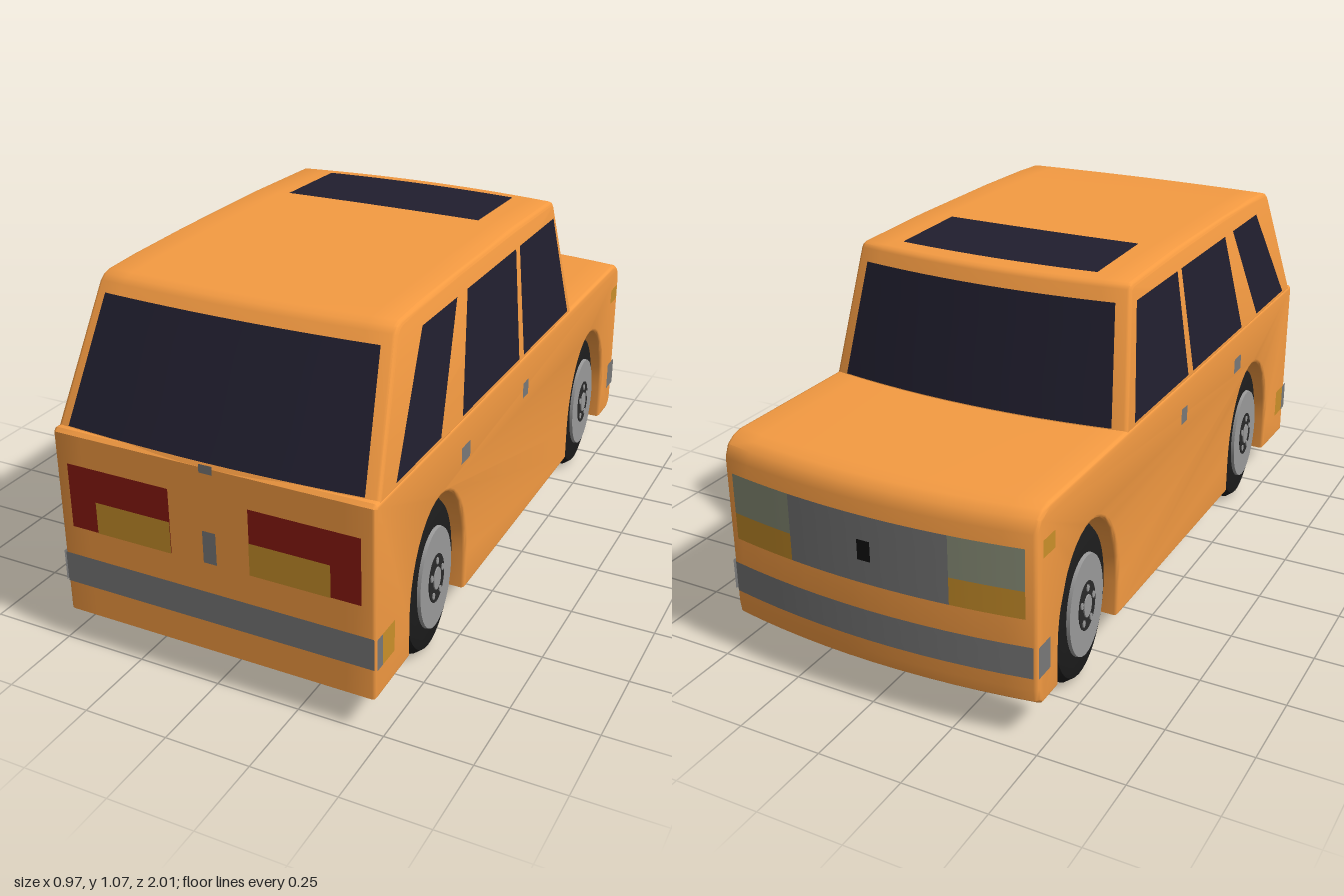
import * as THREE from 'three';
import { toCreasedNormals } from 'three/addons/utils/BufferGeometryUtils.js';

const mat = (color, side = THREE.FrontSide) => new THREE.MeshStandardMaterial({ color, side });
const PAINT = 0xf59b42, GLASS = 0x201e2e, GREY = 0x787878, RED = 0x8a1a10, AMBER = 0xc98f2a, LAMP = 0x8c917a, BLACK = 0x1c1c1c, RIM = 0x999999;
const clamp = (v) => Math.min(1, Math.max(0, v));
const HALF = 0.48;

// The nose and the windscreen bow forward in plan, the tail glass bows back
const bow = (x) => (x / HALF) ** 2;
const bodyBow = (x, z) => z + 0.045 * bow(x) * clamp((-z - 0.84) / 0.1);
const cabinBow = (x, z) => z + 0.045 * bow(x) * clamp((-z - 0.2) / 0.15) - 0.022 * bow(x) * clamp((z - 0.65) / 0.15);
const cabinHalf = (y) => 0.478 - (y - 0.67) * 0.115;

// Side profile (points are [-z, y]) extruded across the width, then moved by a rule
function shell(name, points, deform) {
  const shape = new THREE.Shape(points.map(([a, b]) => new THREE.Vector2(a, b)));
  const bevel = 0.012;
  const geo = new THREE.ExtrudeGeometry(shape, {
    depth: 2 * (HALF - bevel), steps: 12, bevelEnabled: true,
    bevelSize: bevel, bevelThickness: bevel, bevelOffset: -bevel, bevelSegments: 3,
  });
  geo.translate(0, 0, bevel - HALF).rotateY(Math.PI / 2);
  const p = geo.attributes.position;
  for (let i = 0; i < p.count; i++) p.setXYZ(i, ...deform(p.getX(i), p.getY(i), p.getZ(i)));
  const mesh = new THREE.Mesh(toCreasedNormals(geo, 0.6), mat(PAINT));
  mesh.name = name;
  return mesh;
}

// Thin panel: four [u, v] corners (bottom pair, then top pair) laid on a surface function
function panel(name, color, [a, b, c, d], surface, flip = false) {
  const geo = new THREE.PlaneGeometry(1, 1, 12, 4);
  const p = geo.attributes.position;
  const mix = THREE.MathUtils.lerp;
  for (let i = 0; i < p.count; i++) {
    const s = p.getX(i) + 0.5, t = p.getY(i) + 0.5;
    const u = mix(mix(a[0], b[0], s), mix(d[0], c[0], s), t);
    const v = mix(mix(a[1], b[1], s), mix(d[1], c[1], s), t);
    p.setXYZ(i, ...surface(u, v));
  }
  if (flip) geo.index.array.reverse();
  geo.computeVertexNormals();
  const mesh = new THREE.Mesh(geo, mat(color, THREE.DoubleSide));
  mesh.name = name;
  return mesh;
}
const rect = (u0, u1, v0, v1) => [[u0, v0], [u1, v0], [u1, v1], [u0, v1]];

// Half-oval wheel opening in the lower edge of the body profile
function arch(cx) {
  const pts = [[cx - 0.185, 0.11]];
  for (let i = 0; i <= 20; i++) {
    const t = Math.PI * (1 - i / 20);
    pts.push([cx + 0.185 * Math.cos(t), 0.22 + 0.28 * Math.sin(t)]);
  }
  pts.push([cx + 0.185, 0.105]);
  return pts;
}

// Upright oval wheel, outer face towards +x
function wheel(name) {
  const g = new THREE.Group();
  g.name = name;
  const add = (part, geo, color, x) => {
    const m = new THREE.Mesh(geo.rotateZ(-Math.PI / 2), mat(color));
    m.position.x = x;
    m.name = part;
    g.add(m);
    return m;
  };
  const profile = [[0, -0.078], [0.19, -0.078], [0.225, -0.068], [0.243, -0.045], [0.243, 0.045], [0.225, 0.068], [0.19, 0.078], [0, 0.078]];
  const tyre = new THREE.LatheGeometry(profile.map(([r, y]) => new THREE.Vector2(r, y)), 40);
  add('tyre', toCreasedNormals(tyre, 0.6), BLACK, 0);
  add('rim', new THREE.CylinderGeometry(0.154, 0.158, 0.02, 40), RIM, 0.078);
  add('hubRecess', new THREE.CylinderGeometry(0.075, 0.075, 0.004, 28), 0x2a2a2a, 0.088);
  add('hubCap', new THREE.CylinderGeometry(0.034, 0.036, 0.006, 20), RIM, 0.09);
  for (let i = 0; i < 5; i++) {
    const a = (i / 5) * Math.PI * 2;
    const bolt = add('wheelBolt', new THREE.CylinderGeometry(0.011, 0.011, 0.006, 8), RIM, 0.09);
    bolt.position.y = 0.056 * Math.cos(a);
    bolt.position.z = 0.056 * Math.sin(a);
  }
  g.scale.z = 0.67;
  return g;
}

export function createModel() {
  const car = new THREE.Group();
  car.name = 'car';

  // Lower body with wheel openings, and the tapered cabin
  car.add(shell('body', [
    [-1, 0.105], ...arch(-0.61), ...arch(0.65), [0.97, 0.105], [0.995, 0.125], [1, 0.16],
    [1, 0.61], [0.985, 0.645], [0.96, 0.662], [0.92, 0.67], [-0.99, 0.67], [-1, 0.66],
  ], (x, y, z) => [x, y, bodyBow(x, z)]));
  car.add(shell('cabin', [
    [-1, 0.66], [0.47, 0.66], [0.365, 1.04], [0.358, 1.05], [0.345, 1.055], [0, 1.063],
    [-0.4, 1.063], [-0.65, 1.058], [-0.78, 1.052], [-0.805, 1.045], [-0.82, 1.03],
  ], (x, y, z) => {
    const wx = (x / HALF) * cabinHalf(y);
    return [wx, y, cabinBow(wx, z)];
  }));

  // Windscreen, tail glass and sunroof
  car.add(panel('windscreen', GLASS, [[-0.435, 0.675], [0.435, 0.675], [0.4, 1.005], [-0.4, 1.005]],
    (x, y) => [x, y, -0.476 + (y - 0.66) * 0.276 + 0.045 * bow(x)], true));
  car.add(panel('tailGlass', GLASS, [[-0.44, 0.675], [0.44, 0.675], [0.405, 1.005], [-0.405, 1.005]],
    (x, y) => [x, y, 1.006 - (y - 0.66) * 0.486 - 0.022 * bow(x)]));
  car.add(panel('sunroof', GLASS, rect(-0.315, 0.315, 0, -0.29),
    (x, z) => [x, 1.067 - 0.0232 * Math.abs(z), cabinBow(x, z) - 0.01 * (1 - bow(x))]));

  // Fittings on both flanks
  const windows = {
    frontDoorWindow: [[0.012, 0.68], [-0.38, 0.68], [-0.305, 1.005], [-0.015, 1.005]],
    rearDoorWindow: [[0.475, 0.68], [0.05, 0.68], [0.015, 1.005], [0.375, 1.005]],
    quarterWindow: [[0.89, 0.68], [0.62, 0.68], [0.445, 1.005], [0.665, 1.005]],
  };
  const flankTrim = [
    ['frontDoorHandle', GREY, 0.01, -0.035, 0.535, 0.585],
    ['rearDoorHandle', GREY, 0.48, 0.42, 0.535, 0.585],
    ['sideIndicator', AMBER, -0.865, -0.93, 0.535, 0.585],
    ['frontBumperEnd', GREY, -0.89, -0.955, 0.197, 0.29],
    ['rearBumperEnd', GREY, 1, 0.97, 0.197, 0.29],
    ['rearSideMarker', AMBER, 0.97, 0.9, 0.197, 0.29],
  ];
  for (const s of [1, -1]) {
    const side = s > 0 ? 'left ' : 'right ';
    for (const [name, quad] of Object.entries(windows))
      car.add(panel(side + name, GLASS, quad, (z, y) => [s * (cabinHalf(y) + 0.004), y, z], s < 0));
    for (const [name, color, ...r] of flankTrim)
      car.add(panel(side + name, color, rect(...r), (z, y) => [s * (HALF + 0.003), y, z], s < 0));
  }

  // Nose and tail trim, in raised layers
  const nose = (layer) => (x, y) => [x, y, -1 - 0.003 * layer + 0.045 * bow(x)];
  const tail = (layer) => (x, y) => [x, y, 1 + 0.002 * layer];
  const onNose = (name, color, r, layer = 1) => car.add(panel(name, color, rect(...r), nose(layer), true));
  const onTail = (name, color, r, layer = 1) => car.add(panel(name, color, rect(...r), tail(layer)));
  onNose('grille', GREY, [-0.245, 0.245, 0.37, 0.57]);
  onNose('grilleBadge', 0x111111, [-0.02, 0.02, 0.44, 0.5], 2);
  onNose('frontBumper', GREY, [-0.47, 0.47, 0.197, 0.29]);
  onTail('rearBumper', GREY, [-0.475, 0.475, 0.197, 0.29]);
  onTail('tailgateLatch', GREY, [-0.02, 0.02, 0.645, 0.67]);
  onTail('tailgateHandle', GREY, [-0.02, 0.02, 0.38, 0.475]);
  for (const s of [1, -1]) {
    const span = (a, b) => (s > 0 ? [a, b] : [-b, -a]);
    onNose('headlight', LAMP, [...span(0.245, 0.45), 0.45, 0.57]);
    onNose('frontIndicator', AMBER, [...span(0.245, 0.45), 0.37, 0.45]);
    onTail('tailLight', RED, [...span(0.12, 0.44), 0.38, 0.573]);
    onTail('rearIndicator', AMBER, [...span(0.12, 0.355), 0.38, 0.475], 2);

    // Wheels
    for (const [name, z] of [['frontWheel', -0.648], ['rearWheel', 0.608]]) {
      const w = wheel(name);
      w.position.set(s * 0.381, 0.243, z);
      if (s < 0) w.rotation.y = Math.PI;
      car.add(w);
    }
  }
  return car;
}
